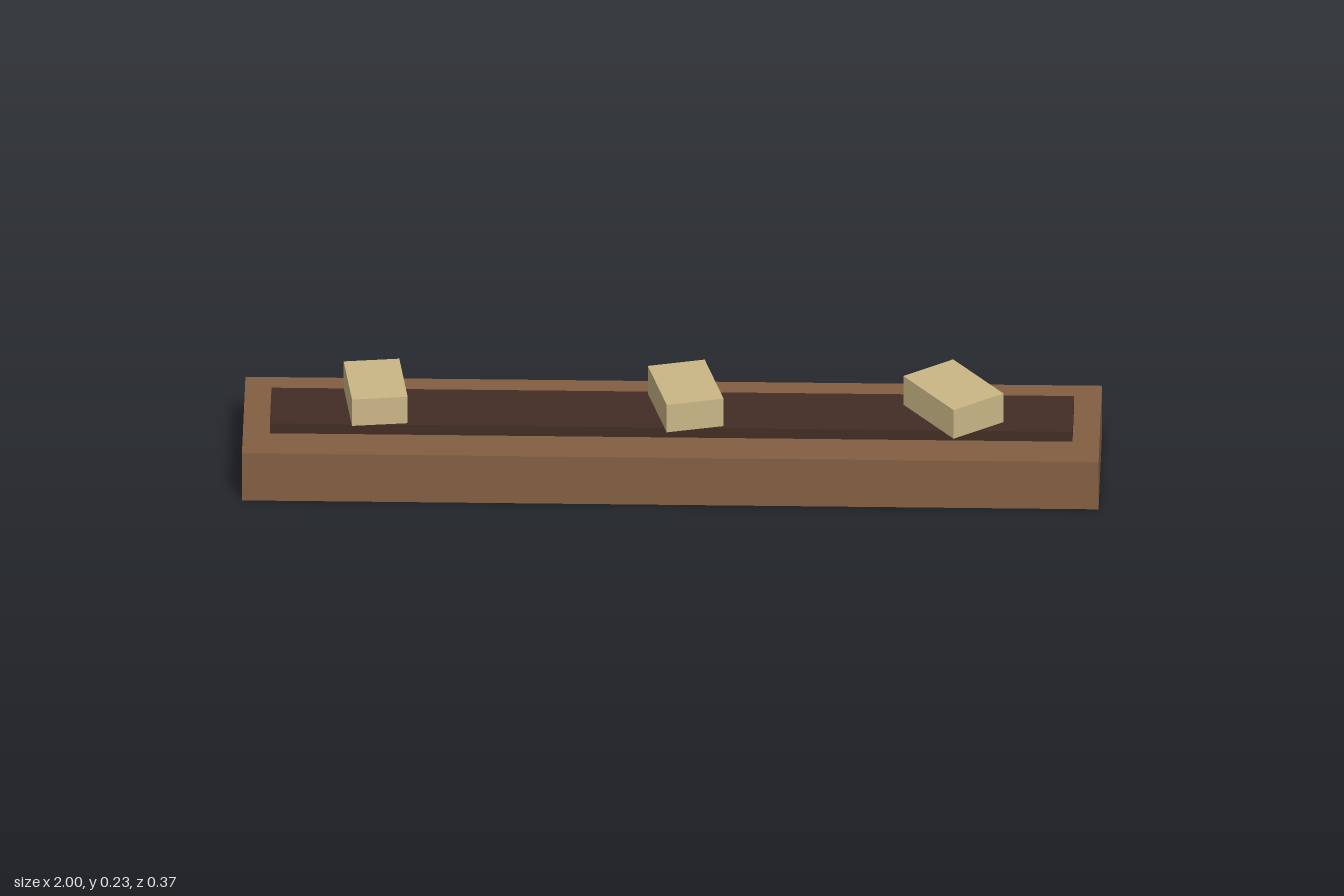
import * as THREE from 'three';

const wood = new THREE.MeshStandardMaterial({ color: 0x835e42, side: THREE.DoubleSide });
wood.name = 'brown wood';
const dark = new THREE.MeshStandardMaterial({ color: 0x422d24 });
dark.name = 'dark inlay';
const cream = new THREE.MeshStandardMaterial({ color: 0xcab786 });
cream.name = 'pale block';

// Box standing on height y
function box(name, w, h, d, y, material) {
  const geometry = new THREE.BoxGeometry(w, h, d).translate(0, h / 2, 0);
  const mesh = new THREE.Mesh(geometry, material);
  mesh.name = name;
  mesh.position.y = y;
  return mesh;
}

// Thin shell with four walls and a top, open underneath
function openBox(name, w, h, d, material) {
  const mesh = box(name, w, h, d, 0, material);
  const index = Array.from(mesh.geometry.index.array);
  index.splice(18, 6); // the bottom face
  mesh.geometry.setIndex(index);
  mesh.geometry.clearGroups();
  return mesh;
}

export function createModel() {
  const model = new THREE.Group();
  model.name = 'boardWithBlocks';

  // Base and raised strip
  model.add(openBox('base', 2, 0.125, 0.374, wood));
  model.add(box('strip', 1.874, 0.026, 0.175, 0.125, dark));

  // Three turned blocks, each a little larger: x, z, turn in degrees, scale
  const blocks = [
    [-0.692, -0.006, 7.2, 0.92],
    [0.032, -0.001, 14.3, 0.96],
    [0.657, 0.003, 36.4, 1],
  ];
  blocks.forEach(([x, z, turn, s], i) => {
    const block = box(`block${i + 1}`, 0.142 * s, 0.076 * s, 0.204 * s, 0.151, cream);
    block.position.x = x;
    block.position.z = z;
    block.rotation.y = THREE.MathUtils.degToRad(turn);
    model.add(block);
  });

  return model;
}
